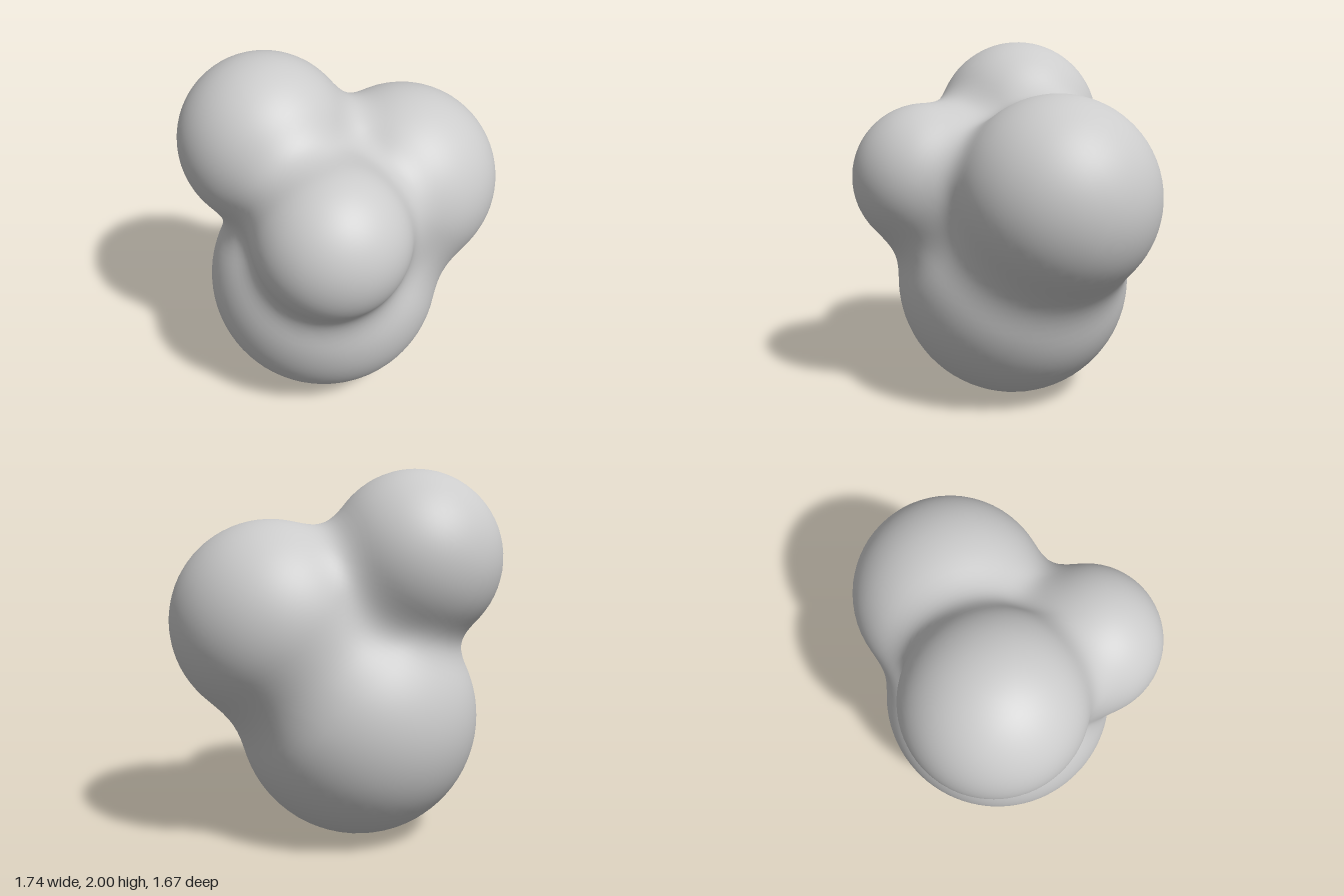
import * as THREE from 'three';
import { mergeVertices } from 'three/addons/utils/BufferGeometryUtils.js';

// The four lobes that melt together: centre and radius
const lobes = [
  { centre: new THREE.Vector3(-0.09, 0.66, -0.06), radius: 0.66 }, // base
  { centre: new THREE.Vector3(0.33, 1.2, -0.3), radius: 0.54 },    // back left
  { centre: new THREE.Vector3(-0.4, 1.53, -0.08), radius: 0.47 },  // upper right
  { centre: new THREE.Vector3(0.01, 1.26, 0.42), radius: 0.41 },   // front
];
const BLEND = 0.2;
const CORE = new THREE.Vector3(-0.08, 1.2, 0.02); // point shared by all lobes

// Rounded union of two distances
function smoothMin(a, b) {
  const h = Math.max(BLEND - Math.abs(a - b), 0) / BLEND;
  return Math.min(a, b) - h * h * BLEND / 4;
}

function distance(p) {
  return lobes.map((l) => p.distanceTo(l.centre) - l.radius).reduce(smoothMin);
}

// Walk inward along a direction until the blended skin is met
function skinPoint(direction, target) {
  let reach = 2;
  for (let i = 0; i < 150; i++) {
    target.copy(CORE).addScaledVector(direction, reach);
    const d = distance(target);
    if (d < 0.0005) break;
    reach -= d;
  }
  return target;
}

export function createModel() {
  const group = new THREE.Group();
  group.name = 'blob';

  // Even sphere of directions, pushed out to the blended skin
  let geometry = new THREE.IcosahedronGeometry(1, 22);
  geometry.deleteAttribute('uv');
  geometry.deleteAttribute('normal');
  geometry = mergeVertices(geometry, 1e-4);
  const position = geometry.attributes.position;
  const direction = new THREE.Vector3();
  const point = new THREE.Vector3();
  for (let i = 0; i < position.count; i++) {
    direction.fromBufferAttribute(position, i).normalize();
    skinPoint(direction, point);
    position.setXYZ(i, point.x, point.y, point.z);
  }
  geometry.computeVertexNormals();

  const skin = new THREE.Mesh(geometry, new THREE.MeshStandardMaterial({ color: 0xcccccc }));
  skin.name = 'blendedLobes';
  group.add(skin);
  return group;
}
